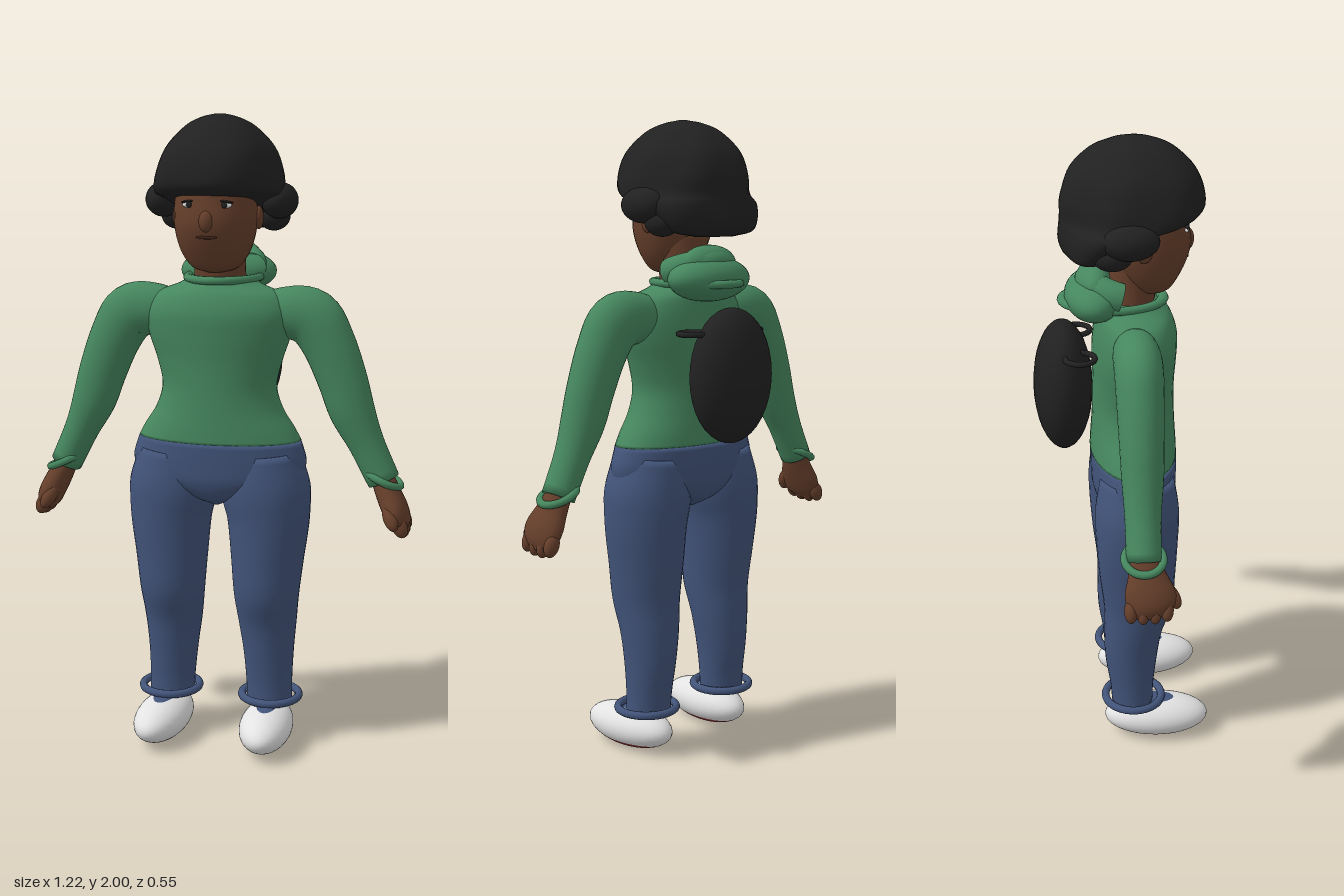
import * as THREE from 'three';

const paint = (name, color) => {
  const m = new THREE.MeshStandardMaterial({ color });
  m.name = name;
  return m;
};

// Smooth closed tube through sections [x, y, z, radius across, radius in z]
function loft(sections, sides = 32, steps = 5) {
  const path = new THREE.CatmullRomCurve3(sections.map(s => new THREE.Vector3(s[0], s[1], s[2])), false, 'catmullrom', 0.5);
  const size = new THREE.CatmullRomCurve3(sections.map(s => new THREE.Vector3(s[3], s[4], 0)), false, 'catmullrom', 0.5);
  const n = (sections.length - 1) * steps;
  const pos = [], idx = [];
  for (let i = 0; i <= n; i++) {
    const p = path.getPoint(i / n), r = size.getPoint(i / n), t = path.getTangent(i / n);
    const len = Math.hypot(t.x, t.y) || 1;
    for (let j = 0; j < sides; j++) {
      const a = (j / sides) * Math.PI * 2, c = Math.cos(a) * r.x / len;
      pos.push(p.x + t.y * c, p.y - t.x * c, p.z + Math.sin(a) * r.y);
      if (i < n) {
        const k = (j + 1) % sides, b = i * sides, d = b + sides;
        idx.push(b + j, d + j, b + k, b + k, d + j, d + k);
      }
    }
  }
  // End caps
  const first = path.getPoint(0), last = path.getPoint(1), c0 = pos.length / 3;
  pos.push(first.x, first.y, first.z, last.x, last.y, last.z);
  for (let j = 0; j < sides; j++) {
    const k = (j + 1) % sides;
    idx.push(c0, j, k, c0 + 1, n * sides + k, n * sides + j);
  }
  const g = new THREE.BufferGeometry();
  g.setAttribute('position', new THREE.Float32BufferAttribute(pos, 3));
  g.setIndex(idx);
  g.computeVertexNormals();
  return g;
}

export function createModel() {
  const model = new THREE.Group();
  const green = paint('sweater green', 0x46875f);
  const denim = paint('denim blue', 0x42547a);
  const skin = paint('brown skin', 0x663f2b);
  const lip = paint('dark brown', 0x40251a);
  const black = paint('hair black', 0x212121);
  const white = paint('shoe white', 0xe2e2e2);
  const red = paint('sole red', 0x862f33);

  const add = (name, geometry, material, parent = model) => {
    const m = new THREE.Mesh(geometry, material);
    m.name = name;
    parent.add(m);
    return m;
  };
  const ball = (name, mat, x, y, z, rx, ry, rz, parent = model) => {
    const m = add(name, new THREE.SphereGeometry(1, 28, 18), mat, parent);
    m.position.set(x, y, z);
    m.scale.set(rx, ry, rz);
    return m;
  };

  // Sweater body
  add('torso', loft([
    [0, 1.0, 0.035, 0.262, 0.136], [0, 1.04, 0.035, 0.24, 0.134], [0, 1.1, 0.035, 0.202, 0.13],
    [0, 1.17, 0.035, 0.183, 0.127], [0, 1.25, 0.035, 0.2, 0.127], [0, 1.33, 0.037, 0.226, 0.13],
    [0, 1.4, 0.04, 0.232, 0.128], [0, 1.455, 0.035, 0.2, 0.115], [0, 1.485, 0.025, 0.13, 0.1],
    [0, 1.505, 0.015, 0.1, 0.09]], 40), green);

  // Hips
  add('hips', loft([
    [0, 0.79, 0.037, 0.02, 0.05], [0, 0.82, 0.037, 0.1, 0.105], [0, 0.87, 0.037, 0.25, 0.13],
    [0, 0.93, 0.036, 0.28, 0.135], [0, 1.0, 0.035, 0.262, 0.136]], 40), denim);

  // Collar ring and hood folded behind the neck
  const collar = add('collar', new THREE.TorusGeometry(0.113, 0.013, 10, 40), green);
  collar.rotation.x = Math.PI / 2;
  collar.scale.y = 1.35;
  collar.position.set(0, 1.502, -0.027);
  ball('hood', green, 0, 1.515, -0.085, 0.155, 0.07, 0.09);
  const hoodRim = add('hoodRim', new THREE.TorusGeometry(0.092, 0.045, 14, 32, Math.PI), green);
  hoodRim.rotation.set(-Math.PI / 2 + 0.3, 0, 0);
  hoodRim.position.set(0, 1.535, -0.01);
  const hoodFold = ball('hoodFold', green, 0, 1.565, -0.085, 0.105, 0.055, 0.05);
  hoodFold.rotation.x = 0.4;

  // Neck and head
  add('neck', loft([[0, 1.46, 0.02, 0.085, 0.075], [0, 1.54, 0.03, 0.08, 0.075], [0, 1.66, 0.04, 0.085, 0.08]]), skin);
  add('head', loft([
    [0, 1.525, 0.085, 0.025, 0.025], [0, 1.54, 0.085, 0.07, 0.062], [0, 1.58, 0.083, 0.102, 0.09],
    [0, 1.63, 0.082, 0.12, 0.114], [0, 1.68, 0.08, 0.127, 0.127], [0, 1.74, 0.078, 0.126, 0.122],
    [0, 1.8, 0.07, 0.115, 0.115], [0, 1.85, 0.06, 0.06, 0.06]], 36), skin);
  ball('nose', skin, 0, 1.685, 0.2, 0.022, 0.032, 0.017);
  ball('mouth', lip, 0, 1.638, 0.194, 0.033, 0.006, 0.007);

  // Hair, swept from the fringe to the nape with gentle lumps
  const hair = loft([
    [0, 1.645, -0.11, 0.08, 0.04], [0, 1.66, -0.1, 0.155, 0.075], [0, 1.7, -0.075, 0.19, 0.112],
    [0, 1.745, -0.025, 0.213, 0.16], [0, 1.775, 0.026, 0.203, 0.21], [0, 1.83, 0.032, 0.193, 0.216],
    [0, 1.9, 0.032, 0.165, 0.19], [0, 1.96, 0.032, 0.108, 0.13], [0, 1.987, 0.032, 0.06, 0.07],
    [0, 1.998, 0.032, 0.015, 0.015]], 44);
  const hp = hair.attributes.position;
  for (let i = 0; i < hp.count; i++) {
    const x = hp.getX(i), y = hp.getY(i), z = hp.getZ(i);
    const s = 1 + 0.018 * Math.sin(6 * Math.atan2(z, x) + y * 14);
    hp.setXYZ(i, x * s, y, 0.03 + (z - 0.03) * s);
  }
  hair.computeVertexNormals();
  add('hair', hair, black);

  // Backpack
  ball('backpack', black, 0, 1.222, -0.183, 0.155, 0.21, 0.092);

  for (const side of [-1, 1]) {
    const label = side > 0 ? 'left' : 'right';

    // Face and side hair
    ball(label + 'Eye', white, side * 0.056, 1.733, 0.186, 0.02, 0.009, 0.007);
    ball(label + 'Pupil', black, side * 0.054, 1.733, 0.191, 0.009, 0.009, 0.005);
    const lid = ball(label + 'Eyelid', black, side * 0.056, 1.743, 0.187, 0.025, 0.004, 0.007);
    lid.rotation.z = side * -0.12;
    ball(label + 'Ear', skin, side * 0.128, 1.69, 0.055, 0.014, 0.035, 0.025);
    ball(label + 'HairLobe', black, side * 0.183, 1.74, 0.01, 0.056, 0.055, 0.085);
    ball(label + 'HairCurl', black, side * 0.155, 1.69, -0.04, 0.05, 0.045, 0.06);

    // Backpack strap loop
    const strap = add(label + 'Strap', new THREE.TorusGeometry(0.045, 0.009, 8, 24), black);
    strap.rotation.x = Math.PI / 2;
    strap.position.set(side * 0.115, 1.355, -0.135);

    // Sleeve
    add(label + 'Sleeve', loft([
      [side * 0.13, 1.39, 0.025, 0.06, 0.06], [side * 0.21, 1.4, 0.025, 0.08, 0.07],
      [side * 0.29, 1.385, 0.025, 0.09, 0.072], [side * 0.342, 1.31, 0.025, 0.083, 0.07],
      [side * 0.387, 1.2, 0.025, 0.077, 0.066], [side * 0.42, 1.1, 0.025, 0.071, 0.062],
      [side * 0.466, 1.0, 0.022, 0.056, 0.054], [side * 0.522, 0.885, 0.02, 0.051, 0.052]]), green);
    const cuff = add(label + 'SleeveCuff', new THREE.TorusGeometry(0.057, 0.012, 10, 32), green);
    cuff.rotation.set(Math.PI / 2, side * -0.42, 0);
    cuff.position.set(side * 0.522, 0.893, 0.02);

    // Hand with curled fingers and thumb
    const hand = new THREE.Group();
    hand.name = label + 'Hand';
    model.add(hand);
    add('palm', loft([
      [side * 0.515, 0.9, 0.02, 0.035, 0.04], [side * 0.54, 0.845, 0.03, 0.039, 0.058],
      [side * 0.562, 0.8, 0.036, 0.04, 0.075], [side * 0.578, 0.76, 0.035, 0.034, 0.068],
      [side * 0.588, 0.73, 0.025, 0.015, 0.04]], 24), skin, hand);
    for (let f = 0; f < 4; f++) {
      const finger = ball('finger', skin, side * 0.583, 0.755 - 0.008 * Math.sin(f), 0.082 - f * 0.035, 0.024, 0.036, 0.02, hand);
      finger.rotation.z = side * 0.4;
    }
    const thumb = ball('thumb', skin, side * 0.555, 0.785, 0.096, 0.022, 0.045, 0.024, hand);
    thumb.rotation.set(-0.6, 0, side * 0.4);

    // Trouser leg and cuff
    add(label + 'Leg', loft([
      [side * 0.165, 0.13, 0.022, 0.074, 0.068], [side * 0.163, 0.2, 0.02, 0.075, 0.072],
      [side * 0.16, 0.3, 0.018, 0.082, 0.085], [side * 0.157, 0.4, 0.024, 0.094, 0.095],
      [side * 0.156, 0.5, 0.04, 0.105, 0.111], [side * 0.158, 0.62, 0.037, 0.117, 0.122],
      [side * 0.16, 0.75, 0.035, 0.132, 0.13], [side * 0.15, 0.85, 0.036, 0.142, 0.132],
      [side * 0.142, 0.96, 0.036, 0.115, 0.115]]), denim);
    const hem = add(label + 'TrouserCuff', new THREE.TorusGeometry(0.093, 0.013, 10, 36), denim);
    hem.rotation.x = Math.PI / 2;
    hem.position.set(side * 0.168, 0.147, 0.025);

    // Shoe: white upper, red sole, denim over the instep
    const shoe = new THREE.Group();
    shoe.name = label + 'Shoe';
    shoe.position.set(side * 0.172, 0.069, 0.102);
    shoe.rotation.y = side * 0.06;
    model.add(shoe);
    const cut = Math.acos(-0.58);
    const upper = add('upper', new THREE.SphereGeometry(1, 32, 16, 0, Math.PI * 2, 0, cut), white, shoe);
    const sole = add('sole', new THREE.SphereGeometry(1, 32, 8, 0, Math.PI * 2, cut, Math.PI - cut), red, shoe);
    upper.scale.set(0.085, 0.068, 0.172);
    sole.scale.copy(upper.scale);
    ball('instep', denim, 0, 0.038, -0.01, 0.05, 0.033, 0.11, shoe);
  }
  return model;
}
